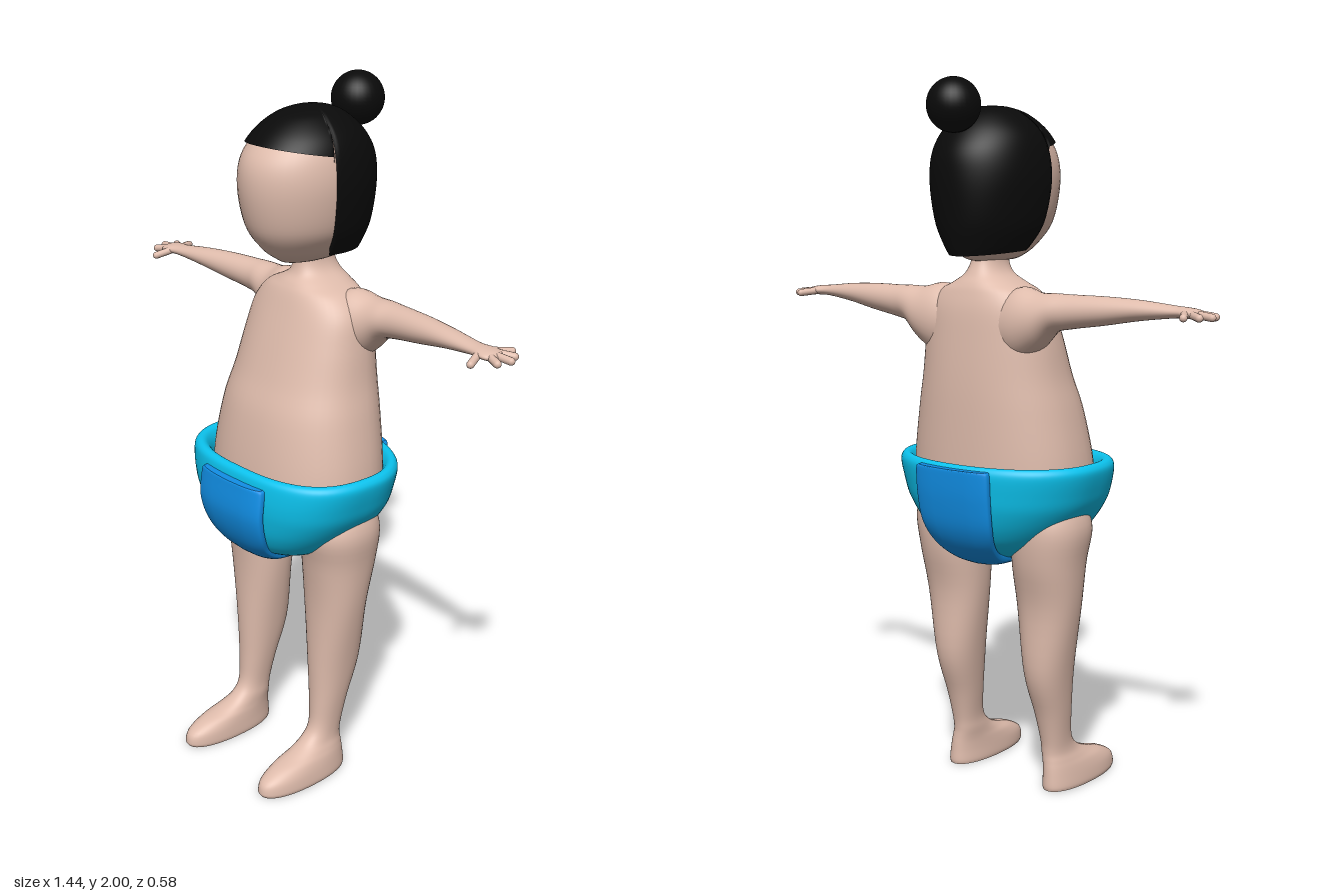
import * as THREE from 'three';

const mat = (color, side = THREE.FrontSide) =>
  new THREE.MeshStandardMaterial({ color, roughness: 0.8, side });
const pw = (v, e) => Math.sign(v) * Math.abs(v) ** e;

// Smooth skin through cross-sections. place(key, cos, sin) gives a ring point;
// start(sin) lets each column begin part of the way along the sections.
function loft(keys, place, { seg = 48, rows = 56, start = () => 0, caps = false } = {}) {
  const pos = [], idx = [];
  const columns = Array.from({ length: seg }, (_, j) => {
    const a = (j / seg) * Math.PI * 2, c = Math.cos(a), s = Math.sin(a);
    const curve = new THREE.CatmullRomCurve3(keys.map(k => place(k, c, s)), false, 'catmullrom', 0.5);
    const t0 = start(s);
    return t => curve.getPoint(t0 + (1 - t0) * t);
  });
  for (let i = 0; i <= rows; i++)
    for (const column of columns) pos.push(...column(i / rows).toArray());
  for (let i = 0; i < rows; i++)
    for (let j = 0; j < seg; j++) {
      const a = i * seg + j, b = i * seg + (j + 1) % seg;
      idx.push(a, a + seg, b, b, a + seg, b + seg);
    }
  if (caps) for (const end of [0, 1]) {
    const base = pos.length / 3, mid = new THREE.Vector3();
    for (const column of columns) {
      const p = column(end);
      mid.addScaledVector(p, 1 / seg);
      pos.push(...p.toArray());
    }
    pos.push(...mid.toArray());
    for (let j = 0; j < seg; j++) {
      const a = base + j, b = base + (j + 1) % seg;
      idx.push(base + seg, end ? b : a, end ? a : b);
    }
  }
  const g = new THREE.BufferGeometry();
  g.setAttribute('position', new THREE.Float32BufferAttribute(pos, 3));
  g.setIndex(idx);
  g.computeVertexNormals();
  return g;
}

// Horizontal section: [y, half width, front z, back z, centre x]
const upright = (frontExp = 2, backExp = 2) => ([y, rx, zf, zb, cx = 0], c, s) => {
  const e = 2 / (s > 0 ? frontExp : backExp);
  return new THREE.Vector3(cx + rx * pw(c, e), y, (zf + zb) / 2 + (zf - zb) / 2 * pw(s, e));
};

export function createModel() {
  const model = new THREE.Group();
  const skin = mat(0xdfbcac), hairMat = mat(0x0a0a0a, THREE.DoubleSide);
  const cyan = mat(0x0cc3ee, THREE.DoubleSide), blue = mat(0x118fe6);
  const add = (name, geo, material, parent = model) => {
    const m = new THREE.Mesh(geo, material);
    m.name = name;
    parent.add(m);
    return m;
  };

  // Torso and neck
  add('torso', loft([
    [0.74, 0.18, 0.15, -0.15], [0.85, 0.265, 0.19, -0.19], [0.95, 0.27, 0.19, -0.195],
    [1.1, 0.245, 0.165, -0.195], [1.2, 0.222, 0.13, -0.192], [1.3, 0.207, 0.095, -0.185],
    [1.38, 0.19, 0.065, -0.177], [1.43, 0.15, 0.045, -0.165], [1.455, 0.1, 0.03, -0.155],
    [1.48, 0.058, 0.01, -0.14], [1.515, 0.04, 0, -0.125], [1.56, 0.04, 0, -0.12],
  ], upright(2.3, 2.3), { caps: true }), skin);

  // Head
  add('head', loft([
    [1.513, 0, -0.05, -0.05], [1.515, 0.035, 0.035, -0.13], [1.53, 0.068, 0.07, -0.165],
    [1.56, 0.1, 0.108, -0.185], [1.62, 0.138, 0.148, -0.2], [1.72, 0.156, 0.168, -0.215],
    [1.8, 0.15, 0.158, -0.21], [1.86, 0.125, 0.11, -0.18], [1.895, 0.08, 0.05, -0.13],
    [1.91, 0, -0.05, -0.05],
  ], upright()), skin);

  // Bobbed hair: low behind the ears, cut high above the face
  add('hair', loft([
    [1.53, 0.088, 0.09, -0.205], [1.56, 0.113, 0.12, -0.215], [1.62, 0.146, 0.155, -0.23],
    [1.72, 0.165, 0.174, -0.24], [1.8, 0.16, 0.165, -0.233], [1.86, 0.137, 0.122, -0.198],
    [1.905, 0.09, 0.062, -0.148], [1.925, 0.045, 0, -0.1], [1.93, 0, -0.05, -0.05],
  ], upright(), {
    seg: 120, rows: 40,
    start: s => (s > 0.16 ? (4.2 + 0.5 * s) / 8 : 0.05 * Math.max(0, 1 + s)),
  }), hairMat);
  add('hairBun', new THREE.SphereGeometry(0.073, 32, 24), hairMat).position.set(0, 1.927, -0.217);

  // Arms and legs, made for the left and mirrored for the right
  const armGeo = loft([
    [0.08, 1.34, -0.085, 0.09, 0.075], [0.14, 1.347, -0.09, 0.102, 0.08],
    [0.2, 1.36, -0.1, 0.077, 0.068], [0.25, 1.384, -0.1, 0.053, 0.056],
    [0.3, 1.39, -0.098, 0.046, 0.047], [0.4, 1.397, -0.088, 0.038, 0.041],
    [0.5, 1.403, -0.076, 0.027, 0.035], [0.6, 1.404, -0.066, 0.016, 0.028],
    [0.64, 1.403, -0.066, 0.014, 0.036], [0.668, 1.401, -0.067, 0.011, 0.032],
    [0.684, 1.4, -0.067, 0, 0],
  ], ([x, cy, cz, ry, rz], c, s) => new THREE.Vector3(x, cy + ry * c, cz - rz * s), { seg: 32 });
  const legGeo = loft([
    [0, 0.056, 0.285, -0.02, 0.173], [0.012, 0.058, 0.29, -0.022, 0.173],
    [0.04, 0.055, 0.28, -0.02, 0.172], [0.065, 0.05, 0.235, -0.018, 0.17],
    [0.085, 0.044, 0.17, -0.016, 0.167], [0.11, 0.039, 0.118, -0.015, 0.163],
    [0.15, 0.038, 0.087, -0.02, 0.163], [0.23, 0.047, 0.08, -0.04, 0.162],
    [0.36, 0.064, 0.08, -0.08, 0.161], [0.545, 0.091, 0.08, -0.086, 0.164],
    [0.68, 0.102, 0.092, -0.113, 0.168], [0.78, 0.106, 0.108, -0.12, 0.175],
    [0.86, 0.09, 0.08, -0.1, 0.165],
  ], upright(2.2, 2.2), { caps: true });
  const fingers = [ // base x, base z, tip x, tip y, tip z
    [0.64, -0.09, 0.668, 1.396, -0.143], [0.655, -0.085, 0.703, 1.395, -0.115],
    [0.66, -0.07, 0.722, 1.395, -0.078], [0.655, -0.055, 0.71, 1.393, -0.036],
    [0.632, -0.045, 0.653, 1.387, 0.011],
  ];
  for (const side of [1, -1]) {
    const limbs = new THREE.Group();
    limbs.name = side > 0 ? 'leftLimbs' : 'rightLimbs';
    limbs.scale.x = side;
    model.add(limbs);
    add('arm', armGeo, skin, limbs);
    add('leg', legGeo, skin, limbs);
    for (const [bx, bz, tx, ty, tz] of fingers) {
      const a = new THREE.Vector3(bx, 1.402, bz), b = new THREE.Vector3(tx, ty, tz);
      const dir = b.clone().sub(a), len = dir.length();
      const f = add('finger', new THREE.CapsuleGeometry(0.0105, len - 0.0105, 6, 12), skin, limbs);
      f.position.copy(a).addScaledVector(dir, 0.5 - 0.00525 / len);
      f.quaternion.setFromUnitVectors(new THREE.Vector3(0, 1, 0), dir.normalize());
    }
  }

  // Padded bowl-shaped pants with a rolled rim
  add('pants', loft([
    [0.676, 0, 0.0, 0.0], [0.679, 0.07, 0.08, -0.07], [0.695, 0.13, 0.14, -0.12],
    [0.73, 0.19, 0.197, -0.175], [0.78, 0.24, 0.225, -0.208], [0.84, 0.283, 0.237, -0.228],
    [0.89, 0.302, 0.24, -0.235], [0.94, 0.314, 0.235, -0.238], [0.96, 0.308, 0.228, -0.232],
    [0.966, 0.294, 0.214, -0.22], [0.957, 0.28, 0.2, -0.207], [0.93, 0.268, 0.188, -0.193],
    [0.88, 0.262, 0.18, -0.187],
  ], upright(2.7, 2.2), { seg: 72, rows: 72 }), cyan);

  // Strap running from the front panel under the crotch to the back: [z, y, half width]
  add('strapPanel', loft([
    [0.244, 0.938, 0.122], [0.247, 0.925, 0.13], [0.254, 0.85, 0.131], [0.237, 0.78, 0.122],
    [0.203, 0.727, 0.103], [0.14, 0.686, 0.085], [0.05, 0.672, 0.075], [-0.05, 0.672, 0.075],
    [-0.125, 0.684, 0.085], [-0.185, 0.727, 0.103], [-0.222, 0.79, 0.12],
    [-0.238, 0.87, 0.125], [-0.243, 0.945, 0.125], [-0.241, 0.957, 0.118],
  ], ([z, y, w], c, s) => {
    const n = new THREE.Vector3(0, Math.min(0, y - 0.9), z).normalize();
    const x = -w * pw(c, 0.4);
    // edges bend towards the body
    const off = 0.015 * pw(s, 0.5) - 0.012 * (x / w) ** 2;
    return new THREE.Vector3(x, y, z).addScaledVector(n, off);
  }, { seg: 48, rows: 72, caps: true }), blue);

  return model;
}
